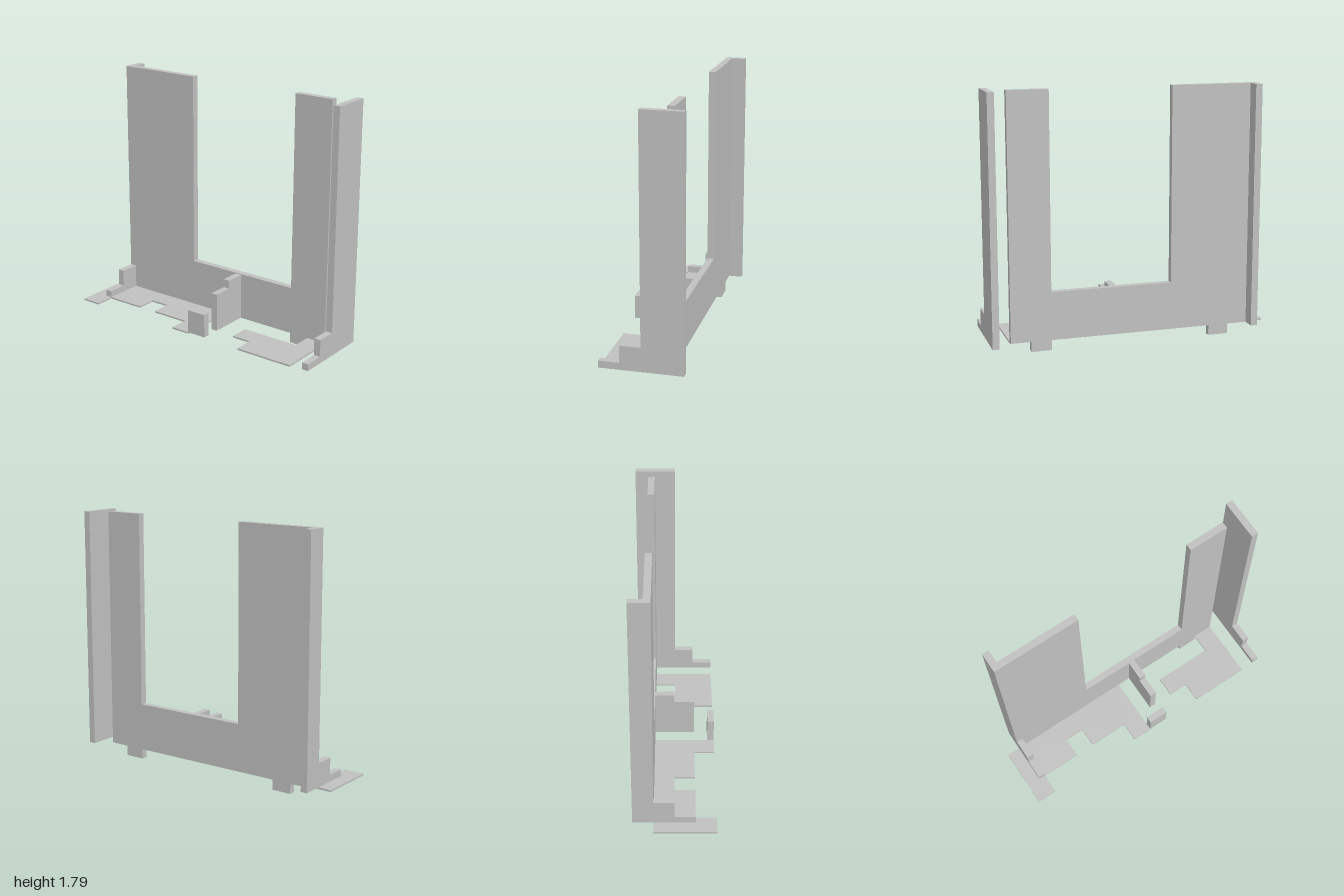
import * as THREE from 'three';

const U = 1 / 7;      // layout module
const T = U / 3;      // panel thickness
const BASE = U / 2;   // underside of the walls
const TOP = BASE + 12 * U;

const grey = new THREE.MeshStandardMaterial({ color: 0xc0c0c0 });
grey.name = 'grey';

// Extrude a closed outline by a depth along its own z
function plate(points, depth) {
  const shape = new THREE.Shape(points.map(([a, b]) => new THREE.Vector2(a, b)));
  return new THREE.ExtrudeGeometry(shape, { depth, bevelEnabled: false });
}

export function createModel() {
  const model = new THREE.Group();
  const add = (name, geometry) => {
    const mesh = new THREE.Mesh(geometry, grey);
    mesh.name = name;
    model.add(mesh);
  };

  // Long side wall with a wide open gap and two feet; outline in (z, y)
  const sill = 0.41;
  add('sideWall', plate([
    [-6 * U, BASE], [-5 * U, BASE], [-5 * U, 0], [-4 * U, 0], [-4 * U, BASE],
    [4 * U, BASE], [4 * U, 0], [5 * U, 0], [5 * U, BASE], [6 * U, BASE],
    [6 * U, TOP], [4 * U, TOP], [4 * U, sill], [-2 * U, sill], [-2 * U, TOP], [-6 * U, TOP],
  ], T).rotateY(-Math.PI / 2).translate(U + T, 0, 0));

  // End walls stepping down towards -x; x0 is the inner edge of the tall part
  const endWall = (x0) => plate([
    [x0 - 2 * U, BASE], [2 * U, BASE], [2 * U, TOP], [x0, TOP], [x0, 0.24],
    [x0 - U, 0.24], [x0 - U, 0.12], [x0 - 2 * U, 0.12],
  ], T);
  add('frontWall', endWall(0).translate(0, 0, 1 - T));
  add('backWall', endWall(U).translate(0, 0, -6 * U - T));

  // Low stepped divider
  add('divider', plate([
    [-U, BASE], [U, BASE], [U, 0.405], [0, 0.405], [0, 0.345], [-U, 0.345],
  ], T).translate(0, 0, U - T));

  // Small post at the floor edge
  const postHeight = 0.24 - BASE;
  add('post', new THREE.BoxGeometry(T, postHeight, U)
    .translate(-2 * U + T / 2, BASE + postHeight / 2, U / 2));

  // Thin floor plates; outlines in module units of (x, z)
  const floor = (points) => plate(points.map(([x, z]) => [x * U, -z * U]), 0.012)
    .rotateX(-Math.PI / 2).translate(0, BASE - 0.012, 0);
  add('frontFloor', floor([
    [-1, 2], [0, 2], [0, 5], [1, 5], [1, 6], [-2, 6], [-2, 3], [-1, 3],
  ]));
  add('backFloor', floor([
    [-2, -7], [1, -7], [1, 0], [-2, 0], [-2, -1], [-1, -1], [-1, -3],
    [0, -3], [0, -4], [-1, -4], [-1, -6], [-2, -6],
  ]));

  return model;
}
